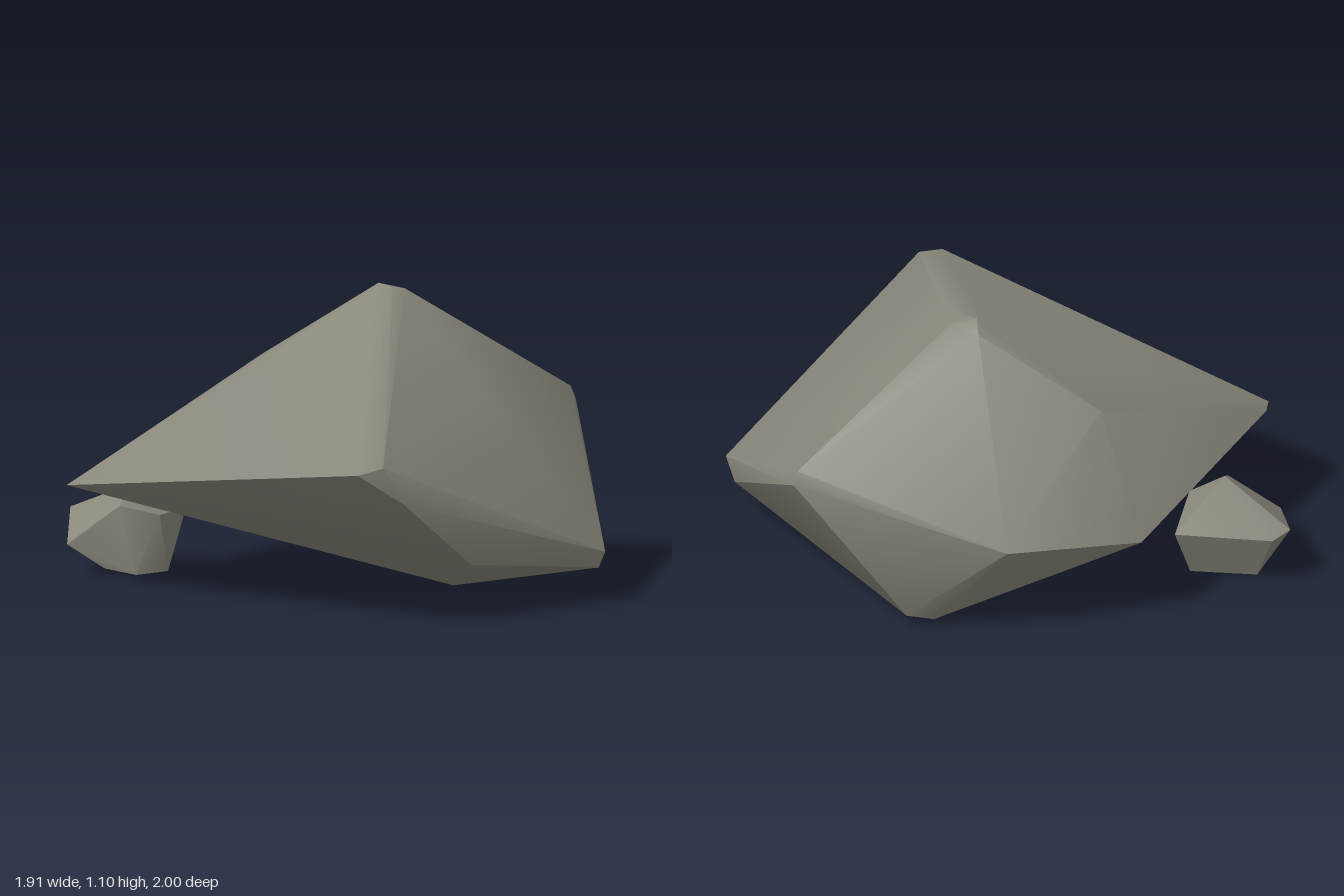
import * as THREE from 'three';
import { ConvexGeometry } from 'three/addons/geometries/ConvexGeometry.js';
import { toCreasedNormals } from 'three/addons/utils/BufferGeometryUtils.js';

// Chipped stone: hull around its corners, soft across shallow edges
function makeRock(name, corners, material) {
  const hull = new ConvexGeometry(corners.map((c) => new THREE.Vector3(...c)));
  const mesh = new THREE.Mesh(toCreasedNormals(hull, 0.6), material);
  mesh.name = name;
  return mesh;
}

export function createModel() {
  const group = new THREE.Group();
  group.name = 'rocks';
  const stone = new THREE.MeshStandardMaterial({ color: 0x8b897c });
  stone.name = 'stone grey';

  group.add(makeRock('boulder', [
    // worn peak
    [0.13, 1.08, -0.03], [0.2, 1.09, 0.01], [0.2, 1.1, -0.07], [0.27, 1.08, 0], [0.25, 1.07, -0.12],
    // back shoulder and rim
    [0.02, 0.79, -0.53], [0.09, 0.35, -0.79], [0.55, 0.4, -0.52],
    [-0.96, 0.4, -0.52], [-0.9, 0.4, -0.56],
    // right tip
    [0.93, 0.66, 0.19], [0.955, 0.61, 0.19],
    // front left corner
    [-0.77, 0.6, 0.93], [-0.67, 0.62, 0.96], [-0.6, 0.48, 1],
    // front lower edge
    [-0.25, 0.21, 0.98], [0.4, 0.19, 1], [0.38, 0.13, 0.985], [0.5, 0.17, 0.87],
    // underside
    [0.13, 0.02, 0.44], [0.6, 0.02, -0.2], [0.7, 0.06, -0.15],
  ], stone));

  group.add(makeRock('smallStone', [
    // upper corners
    [-0.52, 0.33, -0.68], [-0.61, 0.27, -0.62], [-0.48, 0.23, -0.54],
    [-0.53, 0.21, -0.995], [-0.42, 0.21, -1], [-0.22, 0.21, -0.69], [-0.75, 0.12, -0.76],
    // foot
    [-0.65, 0.03, -0.66], [-0.58, 0.01, -0.56], [-0.43, 0.01, -0.55],
    [-0.32, 0.005, -0.68], [-0.45, 0.015, -0.9], [-0.47, 0, -0.7],
  ], stone));
  return group;
}
